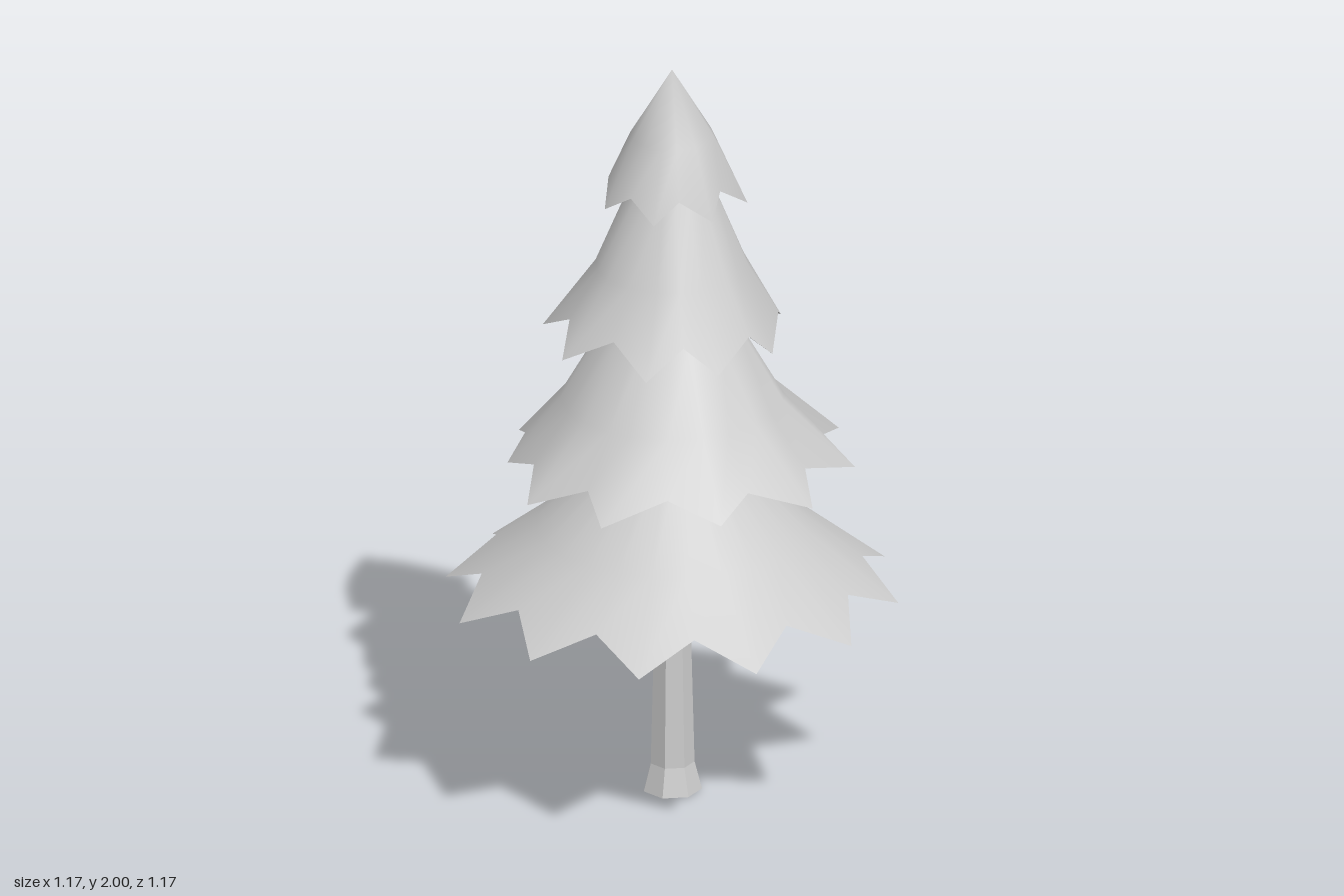
import * as THREE from 'three';

// Rim outlines seen from above: x, z pairs alternating tip, notch
const lowestRim = [];
for (let i = 0; i < 24; i++) {
  const a = (i * Math.PI) / 12;
  const r = i % 2 ? 0.49 : 0.585;
  lowestRim.push(r * Math.cos(a), r * Math.sin(a));
}
const lowerRim = [
  0.475, -0.04, 0.365, 0.1, 0.42, 0.21, 0.255, 0.28, 0.22, 0.42, 0.06, 0.375,
  -0.04, 0.44, -0.15, 0.345, -0.33, 0.34, -0.315, 0.21, -0.45, 0.13, -0.38, 0,
  -0.395, -0.145, -0.325, -0.2, -0.29, -0.33, -0.165, -0.34, -0.11, -0.465,
  0.045, -0.38, 0.155, -0.44, 0.24, -0.295, 0.36, -0.27, 0.36, -0.115,
];
const upperRim = [
  0.3, 0, 0.245, 0.12, 0.185, 0.23, 0.115, 0.245, 0.005, 0.31, -0.07, 0.255,
  -0.185, 0.285, -0.22, 0.15, -0.33, 0.07, -0.27, -0.03, -0.29, -0.165,
  -0.19, -0.19, -0.14, -0.3, -0.02, -0.27, 0.06, -0.325, 0.155, -0.22,
  0.275, -0.19, 0.26, -0.07,
];
const topRim = [
  0.17, 0.095, 0.085, 0.12, 0.04, 0.18, -0.04, 0.15, -0.11, 0.15, -0.145, 0.08,
  -0.185, 0, -0.145, -0.075, -0.105, -0.15, -0.035, -0.16, 0.04, -0.17,
  0.095, -0.125, 0.175, -0.09, 0.155, 0,
];

// rings: [radius, y] from the rim up; apex and under: centre heights
const tiers = [
  { name: 'lowestBranches', rim: lowestRim, tipY: 0.55, notchY: 0.62, rings: [[0.35, 0.735], [0.13, 0.96]], apex: 1.06, under: 0.67 },
  { name: 'lowerBranches', rim: lowerRim, tipY: 0.91, notchY: 0.96, rings: [[0.285, 1.09], [0.165, 1.3]], apex: 1.43, under: 1.05 },
  { name: 'upperBranches', rim: upperRim, tipY: 1.27, notchY: 1.335, rings: [[0.197, 1.46], [0.11, 1.67]], apex: 1.79, under: 1.41 },
  { name: 'topBranches', rim: topRim, tipY: 1.64, notchY: 1.695, rings: [[0.108, 1.82]], apex: 2, under: 1.77 },
];

function makeGeometry(positions, index) {
  const g = new THREE.BufferGeometry();
  g.setAttribute('position', new THREE.Float32BufferAttribute(positions, 3));
  g.setIndex(index);
  return g;
}

function buildTier({ name, rim, tipY, notchY, rings, apex, under }, material) {
  const n = rim.length / 2;
  const rimPoints = [];
  for (let i = 0; i < n; i++) rimPoints.push(rim[2 * i], i % 2 ? notchY : tipY, rim[2 * i + 1]);

  // Smooth upper skin: jagged rim, round rings, apex
  const skin = [...rimPoints];
  for (const [r, y] of rings) {
    for (let i = 0; i < n; i++) {
      const a = Math.atan2(rim[2 * i + 1], rim[2 * i]);
      skin.push(r * Math.cos(a), y, r * Math.sin(a));
    }
  }
  skin.push(0, apex, 0);
  const faces = [];
  const last = rings.length * n;
  for (let i = 0; i < n; i++) {
    const j = (i + 1) % n;
    for (let b = 0; b < last; b += n) {
      faces.push(b + i, b + n + i, b + j, b + n + i, b + n + j, b + j);
    }
    faces.push(last + i, last + n, last + j);
  }
  const upper = makeGeometry(skin, faces);
  upper.computeVertexNormals();

  // Faceted underside: fan from the raised centre to the rim
  const fan = [];
  for (let i = 0; i < n; i++) fan.push(n, i, (i + 1) % n);
  const lower = makeGeometry([...rimPoints, 0, under, 0], fan).toNonIndexed();
  lower.computeVertexNormals();

  const tier = new THREE.Group();
  tier.name = name;
  const top = new THREE.Mesh(upper, material);
  top.name = name + 'Top';
  const bottom = new THREE.Mesh(lower, material);
  bottom.name = name + 'Underside';
  tier.add(top, bottom);
  return tier;
}

export function createModel() {
  const model = new THREE.Group();
  model.name = 'pineTree';
  const grey = new THREE.MeshStandardMaterial({ color: 0xcccccc, side: THREE.DoubleSide });
  grey.name = 'lightGrey';

  // Trunk with a flared, open foot
  const profile = [[0.077, 0], [0.058, 0.075], [0.042, 0.7]].map(([r, y]) => new THREE.Vector2(r, y));
  const trunkGeometry = new THREE.LatheGeometry(profile, 7, 0.2).toNonIndexed();
  trunkGeometry.computeVertexNormals();
  const trunk = new THREE.Mesh(trunkGeometry, grey);
  trunk.name = 'trunk';
  model.add(trunk);

  for (const tier of tiers) model.add(buildTier(tier, grey));
  return model;
}
